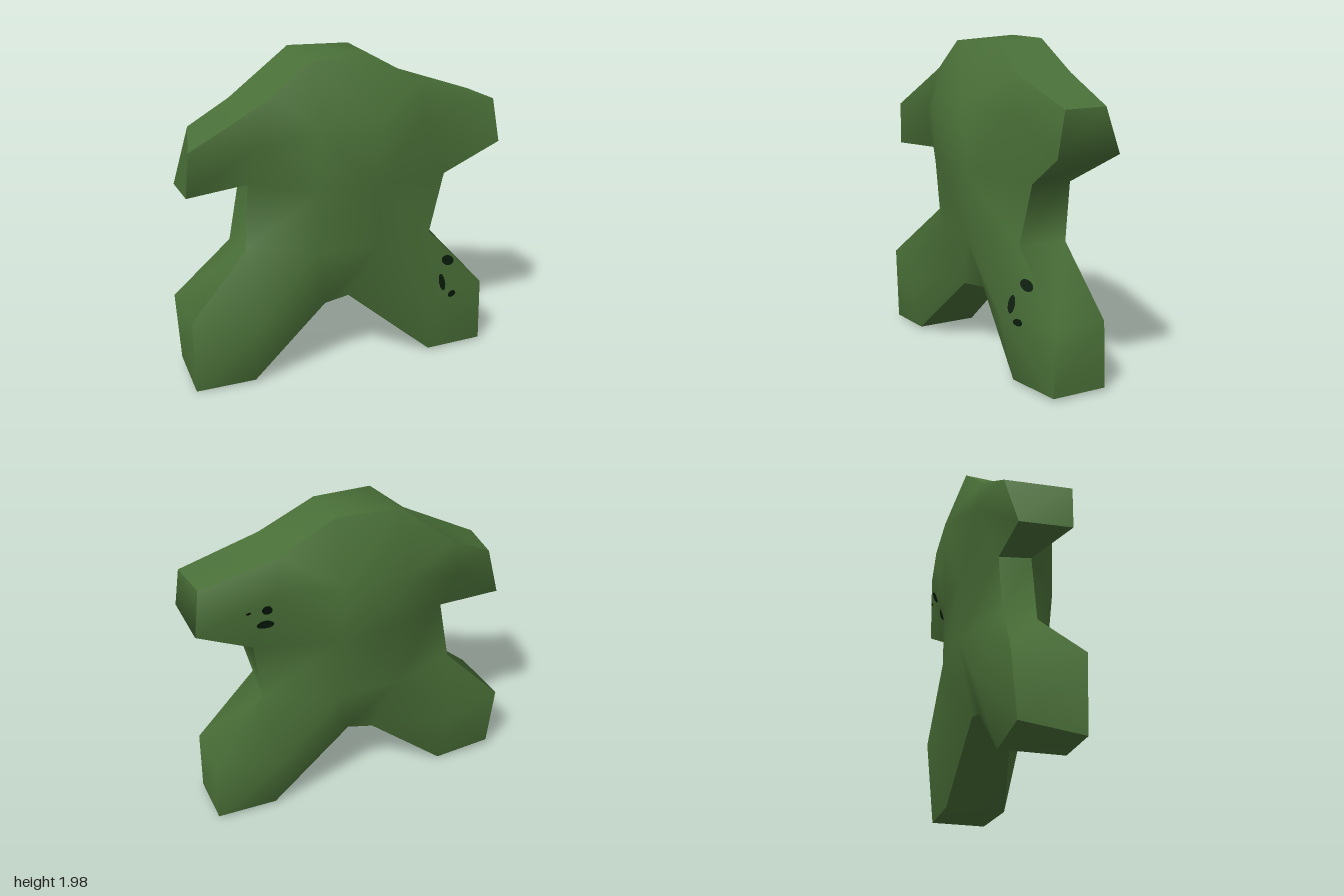
import * as THREE from 'three';

// Lattice rows from the feet up: [x, y, front z, back z, back x shift, back y shift]
const _ = null;
const LATTICE = [
  [[-0.98, 0.005, 0.24, -0.14, 0, 0.05], [-0.61, 0.02, 0.25, -0.14], _, _, [0.56, 0.02, 0.24, -0.14], [0.94, 0.02, 0.21, -0.14]],
  [[-0.99, 0.47, 0.25, -0.18, -0.01], [-0.61, 0.42, 0.36, -0.27], [-0.13, 0.43, 0.18, -0.11, 0, -0.03],
    [0.04, 0.44, 0.14, -0.11], [0.56, 0.42, 0.33, -0.27], [0.94, 0.42, 0.2, -0.13]],
  [_, [-0.61, 0.82, 0.1, -0.12, -0.04], [-0.22, 0.82, 0.29, -0.27], [0.16, 0.82, 0.33, -0.27], [0.56, 0.82, 0.2, -0.09, 0.04], _],
  [[-0.98, 1.23, 0.2, -0.12, 0, -0.01], [-0.58, 1.23, 0.08, -0.12, 0, -0.02], [-0.22, 1.21, 0.33, -0.27], [0.16, 1.21, 0.33, -0.27],
    [0.66, 1.19, 0.18, -0.09, -0.02, -0.01], [1, 1.38, 0.24, -0.17]],
  [[-0.96, 1.5, 0.21, -0.17, 0.09, 0.05], [-0.55, 1.5, 0.21, -0.27, -0.05], [-0.22, 1.6, 0.34, -0.36], [0.16, 1.6, 0.34, -0.33],
    [0.5, 1.58, 0.22, -0.27, 0.05, 0.02], [0.98, 1.64, 0.18, -0.11, -0.03]],
  [_, [-0.45, 1.77, 0.18, -0.22, -0.15, -0.08], [-0.22, 1.955, 0.17, -0.23, 0, 0.025], [0.16, 1.975, 0.12, -0.2],
    [0.49, 1.79, 0.17, -0.19], _],
];

// Rim as [column, row, hard corner], counter-clockwise seen from the front
const RIM = [[0, 0, true], [1, 0], [2, 1], [3, 1], [4, 0], [5, 0, true], [5, 1], [4, 2], [4, 3], [5, 3],
  [5, 4, true], [4, 5], [3, 5], [2, 5], [1, 5], [0, 4, true], [0, 3, true], [1, 3, true], [1, 2], [0, 1]];

function pointAt(c, r, back) {
  const [x, y, zf, zb, dx = 0, dy = 0] = LATTICE[r][c];
  return back ? [x + dx, y + dy, zb] : [x, y, zf];
}

function smoothGeometry(positions, index) {
  const g = new THREE.BufferGeometry();
  g.setAttribute('position', new THREE.Float32BufferAttribute(positions, 3));
  g.setIndex(index);
  g.computeVertexNormals();
  return g;
}

// Rounded front or back face: each cell is a quad, or a triangle where a corner is missing
function capGeometry(back) {
  const positions = [], index = [], ids = {};
  LATTICE.forEach((row, r) => row.forEach((p, c) => {
    if (!p) return;
    ids[c + ',' + r] = positions.length / 3;
    positions.push(...pointAt(c, r, back));
  }));
  const depth = (id) => Math.abs(positions[3 * id + 2]);
  for (let r = 0; r < 5; r++) {
    for (let c = 0; c < 5; c++) {
      if (r === 2 && (c === 0 || c === 4)) continue; // open gaps under the arms
      const cell = [[c + 1, r], [c + 1, r + 1], [c, r + 1], [c, r]]
        .map((k) => ids[k.join(',')]).filter((k) => k !== undefined);
      // Split quads along the fuller diagonal
      if (cell.length === 4 && depth(cell[0]) + depth(cell[2]) < depth(cell[1]) + depth(cell[3])) {
        cell.push(cell.shift());
      }
      for (let k = 2; k < cell.length; k++) {
        index.push(cell[0], ...(back ? [cell[k], cell[k - 1]] : [cell[k - 1], cell[k]]));
      }
    }
  }
  return smoothGeometry(positions, index);
}

// Wall joining the front rim to the back rim, split only at the hard corners
function wallGeometry() {
  const positions = [], index = [];
  const addPair = ([c, r]) => positions.push(...pointAt(c, r, false), ...pointAt(c, r, true));
  RIM.forEach((corner, i) => {
    if (corner[2]) addPair(corner);
    addPair(RIM[(i + 1) % RIM.length]);
    const n = positions.length / 3;
    index.push(n - 4, n - 3, n - 1, n - 4, n - 1, n - 2);
  });
  return smoothGeometry(positions, index);
}

// Small oval patch laid onto a face of the body
function spotGeometry(surface, side, [x, y, rx, ry, turn]) {
  const g = new THREE.CircleGeometry(1, 14);
  g.scale(rx, ry, 1);
  g.rotateZ(turn);
  g.translate(x * side, y, 0);
  const p = g.attributes.position, ray = new THREE.Raycaster();
  for (let i = 0; i < p.count; i++) {
    const px = p.getX(i) * side, py = p.getY(i);
    ray.set(new THREE.Vector3(px, py, 2 * side), new THREE.Vector3(0, 0, -side));
    const hit = ray.intersectObject(surface)[0];
    p.setXYZ(i, px, py, (hit ? hit.point.z : 0.2 * side) + 0.007 * side);
  }
  g.computeVertexNormals();
  return g;
}

export function createModel() {
  const group = new THREE.Group();
  const green = new THREE.MeshStandardMaterial({ color: 0x4a7038 });
  green.name = 'leaf green';
  const dark = new THREE.MeshStandardMaterial({ color: 0x071a09 });
  dark.name = 'dark green';
  const add = (name, geometry, material) => {
    const mesh = new THREE.Mesh(geometry, material);
    mesh.name = name;
    group.add(mesh);
    return mesh;
  };

  // Body
  const front = add('bodyFront', capGeometry(false), green);
  const back = add('bodyBack', capGeometry(true), green);
  add('bodyEdge', wallGeometry(), green);

  // Spots on the left leg and behind the left arm
  [[0.685, 0.618, 0.05, 0.03, -0.35], [0.62, 0.5, 0.024, 0.052, 0.15], [0.69, 0.41, 0.032, 0.021, 0]]
    .forEach((s) => add('legSpot', spotGeometry(front, 1, s), dark));
  [[0.59, 1.38, 0.05, 0.033, 0.1], [0.59, 1.5, 0.03, 0.038, 0.4], [0.7, 1.5, 0.016, 0.01, 0]]
    .forEach((s) => add('armSpot', spotGeometry(back, -1, s), dark));
  return group;
}
